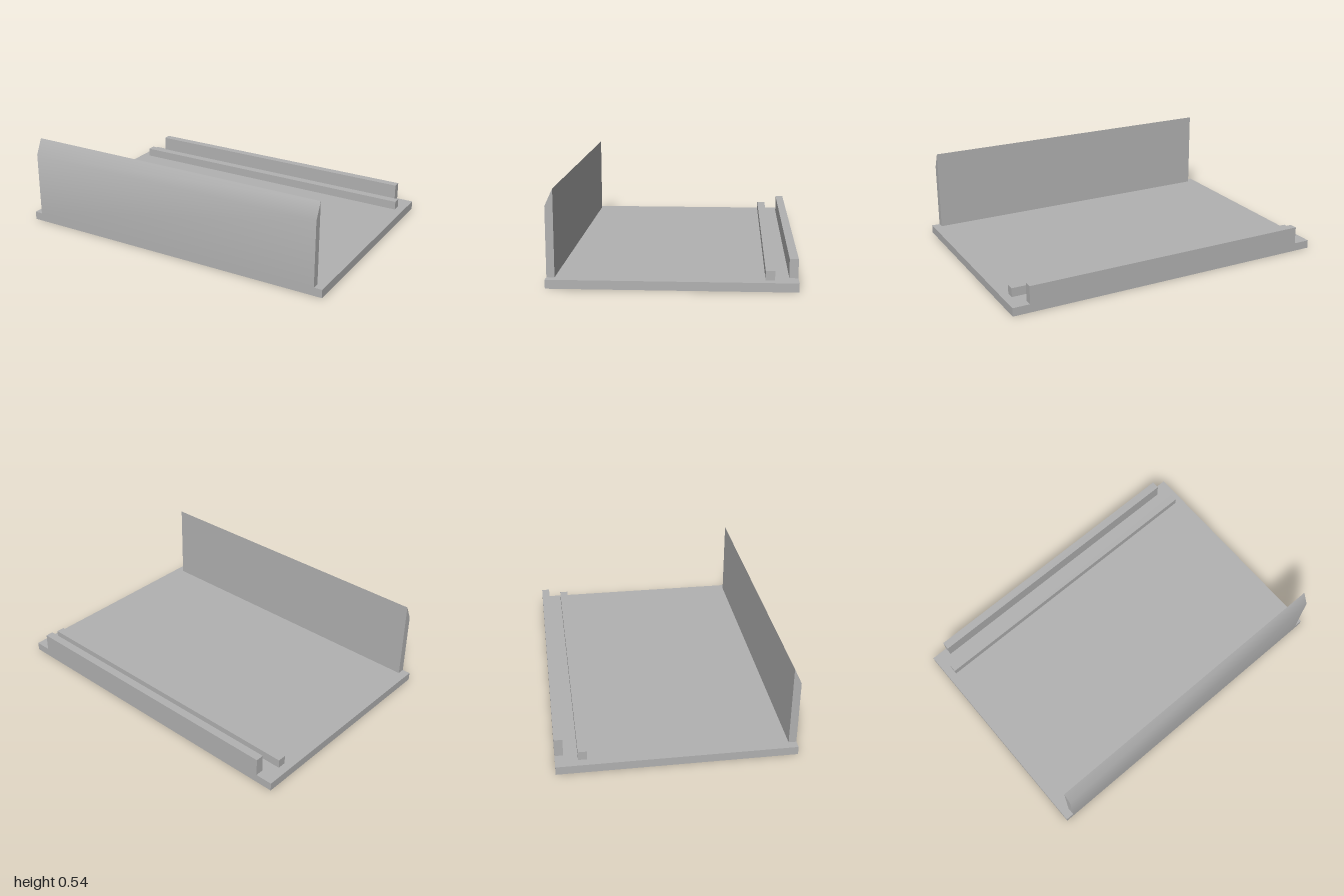
import * as THREE from 'three';
import { toCreasedNormals } from 'three/addons/utils/BufferGeometryUtils.js';

export function createModel() {
  const model = new THREE.Group();
  const grey = new THREE.MeshStandardMaterial({ color: 0xb2b2b2 });
  grey.name = 'grey';

  const add = (name, geometry) => {
    const mesh = new THREE.Mesh(geometry, grey);
    mesh.name = name;
    model.add(mesh);
  };

  // Box given by its width and its y and z extents
  const bar = (name, width, y0, y1, z0, z1) => {
    const geometry = new THREE.BoxGeometry(width, y1 - y0, z1 - z0);
    geometry.translate(0, (y0 + y1) / 2, (z0 + z1) / 2);
    add(name, geometry);
  };

  const depth = 0.684, floor = 0.05;
  bar('basePlate', 2, 0, floor, -depth, depth);
  bar('rearLip', 1.794, floor, 0.157, -depth, -0.635);
  bar('innerRail', 1.9, floor, 0.103, -0.556, -0.505);

  // Tall front wall with a bevelled top, extruded across x (profile x is -z)
  const profile = new THREE.Shape([
    [-depth, floor], [-0.639, floor], [-0.639, 0.541], [-depth, 0.445],
  ].map(([x, y]) => new THREE.Vector2(x, y)));
  const wall = new THREE.ExtrudeGeometry(profile, { depth: 1.9, bevelEnabled: false });
  wall.translate(0, 0, -0.95);
  wall.rotateY(Math.PI / 2);
  // Soft edge between face and bevel, sharp elsewhere
  add('frontWall', toCreasedNormals(wall, 0.6));

  return model;
}
